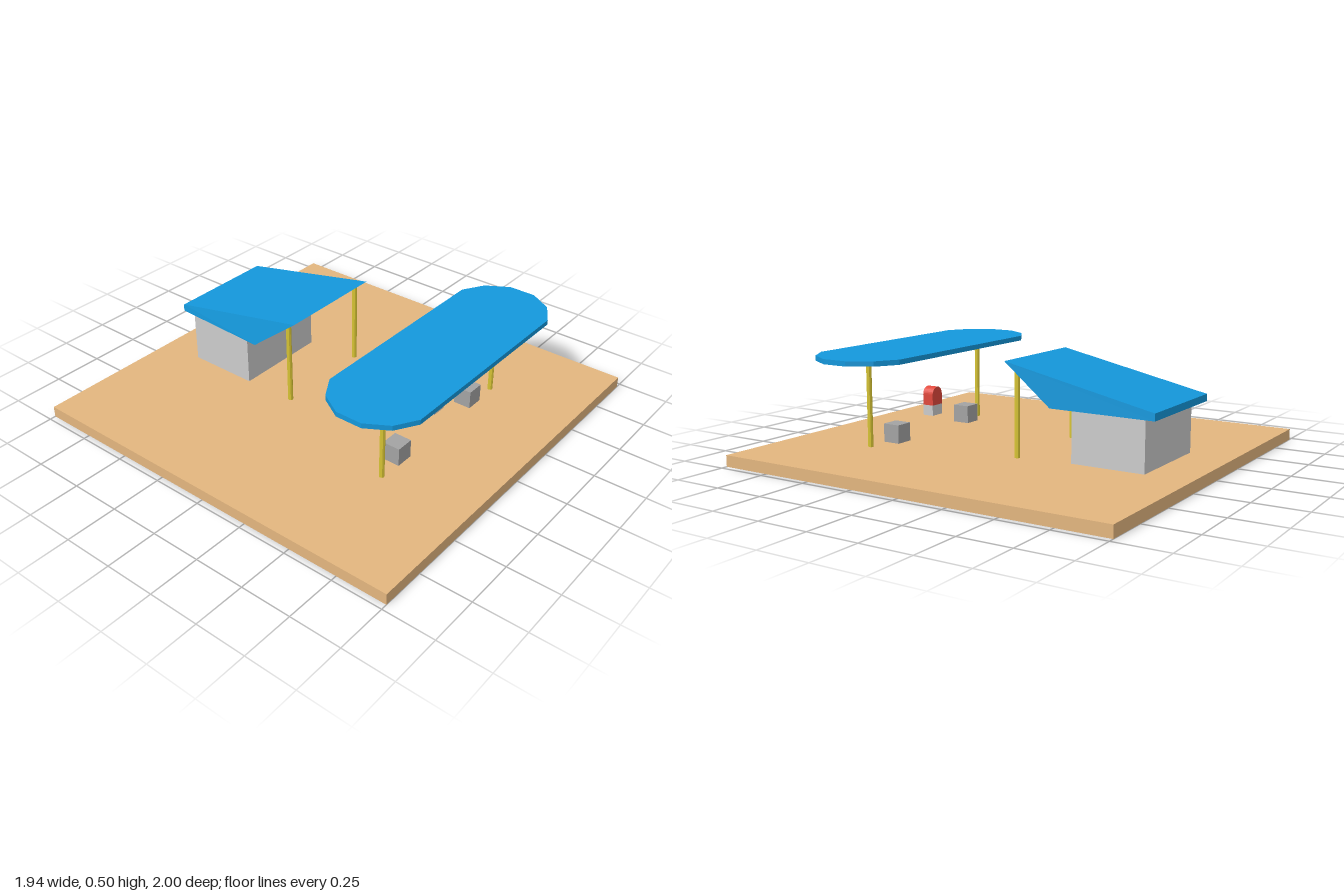
import * as THREE from 'three';

const material = (color) => new THREE.MeshStandardMaterial({ color, flatShading: true });
const sand = material(0xe3b67f);
const blue = material(0x1498dc);
const yellow = material(0xd8c534);
const red = material(0xe0483c);
const grey = material(0xcccccc);
const darkGrey = material(0xa3a3a3);

export function createModel() {
  const model = new THREE.Group();
  model.name = 'fillingStation';

  const add = (name, geometry, mat, x = 0, y = 0, z = 0) => {
    const mesh = new THREE.Mesh(geometry, mat);
    mesh.name = name;
    mesh.position.set(x, y, z);
    model.add(mesh);
    return mesh;
  };
  // Box given by its lower and upper limits on each axis
  const box = (name, mat, [x0, x1], [y0, y1], [z0, z1]) =>
    add(name, new THREE.BoxGeometry(x1 - x0, y1 - y0, z1 - z0), mat,
      (x0 + x1) / 2, (y0 + y1) / 2, (z0 + z1) / 2);

  const groundY = 0.055;
  box('groundSlab', sand, [-0.97, 0.97], [0, groundY], [-1, 1]);

  // Hut and its slanted roof
  box('hutWalls', grey, [-0.215, 0.265], [groundY, 0.31], [-0.78, -0.42]);
  add('hutRoof', roofGeometry([
    // left x, right x, y, z
    [-0.22, 0.325, 0.498, -0.105],
    [-0.24, 0.33, 0.308, -0.345],
    [-0.215, 0.332, 0.306, -0.855],
    [-0.212, 0.332, 0.34, -0.855],
  ]), blue);

  // Canopy with chamfered round ends
  const corners = [[0.51, 0.237], [0.615, 0.174], [0.68, 0.065]];
  const right = [...corners, ...corners.map(([x, y]) => [x, -y]).reverse()];
  const left = right.map(([x, y]) => [-x, -y]);
  const outline = new THREE.Shape([...right, ...left].map(([x, y]) => new THREE.Vector2(x, y)));
  const canopy = add('canopy',
    new THREE.ExtrudeGeometry(outline, { depth: 0.024, bevelEnabled: false }), blue, 0.04, 0.5, 0.548);
  canopy.rotation.x = Math.PI / 2;

  // Posts
  const post = (name, x, z, top) =>
    add(name, new THREE.CylinderGeometry(0.0125, 0.0125, top - groundY, 8), yellow,
      x, (top + groundY) / 2, z);
  for (const x of [-0.405, 0.483]) post('canopyPost', x, 0.55, 0.48);
  for (const x of [-0.202, 0.297]) post('hutPost', x, -0.157, 0.465);

  // Grey blocks either side of the pump
  for (const x of [-0.255, 0.32])
    box('sideBlock', darkGrey, [x - 0.045, x + 0.045], [groundY, 0.145], [0.477, 0.565]);

  // Pump: grey foot, red arched body, round dial
  const px = 0.052, r = 0.038, dialY = 0.25;
  box('pumpFoot', grey, [px - r, px + r], [0.145, 0.197], [0.478, 0.535]);
  const arch = new THREE.Shape();
  arch.moveTo(-r, 0.197 - dialY);
  arch.lineTo(r, 0.197 - dialY);
  arch.absarc(0, 0, r, 0, Math.PI, false);
  add('pumpBody', new THREE.ExtrudeGeometry(arch,
    { depth: 0.059, bevelEnabled: false, curveSegments: 8 }), red, px, dialY, 0.477);
  const dial = add('pumpDial', new THREE.CylinderGeometry(0.032, 0.032, 0.006, 16), grey,
    px, dialY, 0.536);
  dial.rotation.x = Math.PI / 2;

  return model;
}

// Wedge solid: joins a left and a right copy of a side profile
function roofGeometry(profile) {
  const positions = [];
  const L = profile.map(([x, , y, z]) => [x, y, z]);
  const R = profile.map(([, x, y, z]) => [x, y, z]);
  const quad = (a, b, c, d) => positions.push(...a, ...b, ...c, ...a, ...c, ...d);
  quad(...R);
  quad(...[...L].reverse());
  for (let i = 0; i < 4; i++) {
    const j = (i + 1) % 4;
    quad(R[i], L[i], L[j], R[j]);
  }
  const geometry = new THREE.BufferGeometry();
  geometry.setAttribute('position', new THREE.Float32BufferAttribute(positions, 3));
  geometry.computeVertexNormals();
  return geometry;
}
